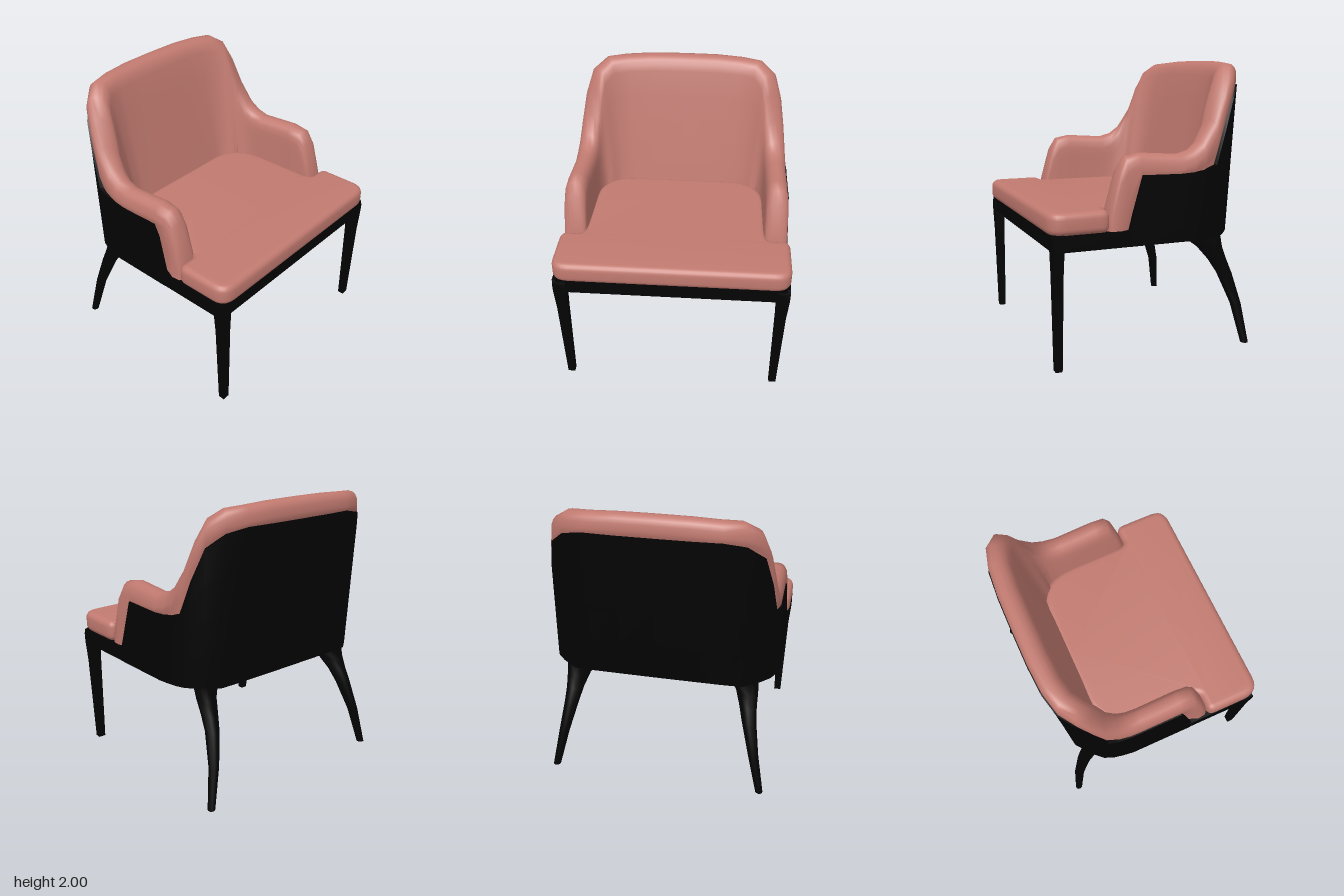
import * as THREE from 'three';
import { toCreasedNormals } from 'three/addons/utils/BufferGeometryUtils.js';

const lerp = THREE.MathUtils.lerp;

// Half of the wrap-around back, from arm tip to back centre:
// base x,z | top x,z | pad height | shell height | inward angle | base thickness
const STATIONS = [
  [0.785, 0.345, 0.78, 0.345, 0.97, 0, 0, 0.11],
  [0.81, 0.33, 0.795, 0.325, 1.07, 0, 0, 0.16],
  [0.815, 0.27, 0.795, 0.26, 1.3, 0, 0, 0.185],
  [0.815, 0.21, 0.793, 0.21, 1.38, 0.9, 0, 0.19],
  [0.815, 0.11, 0.79, 0.11, 1.4, 1.26, 0, 0.19],
  [0.815, -0.18, 0.79, -0.18, 1.38, 1.255, 4, 0.2],
  [0.815, -0.26, 0.79, -0.28, 1.405, 1.26, 9, 0.215],
  [0.805, -0.335, 0.785, -0.36, 1.46, 1.27, 15, 0.235],
  [0.79, -0.41, 0.77, -0.46, 1.6, 1.3, 24, 0.26],
  [0.765, -0.47, 0.742, -0.54, 1.78, 1.53, 36, 0.295],
  [0.7, -0.54, 0.7, -0.615, 1.915, 1.74, 46, 0.295],
  [0.59, -0.625, 0.6, -0.695, 1.978, 1.83, 62, 0.295],
  [0.45, -0.63, 0.45, -0.735, 1.988, 1.86, 75, 0.275],
  [0.25, -0.631, 0.25, -0.75, 1.998, 1.86, 86, 0.275],
  [0, -0.632, 0, -0.752, 2, 1.86, 90, 0.275],
];

// Skin closed rings of points, cap both ends and keep faces outward
function loft(rings) {
  const n = rings[0].length, pos = [], idx = [];
  rings.forEach(r => r.forEach(p => pos.push(p.x, p.y, p.z)));
  for (let i = 0; i < rings.length - 1; i++) {
    for (let j = 0; j < n; j++) {
      const a = i * n + j, b = i * n + (j + 1) % n;
      idx.push(a, b, b + n, a, b + n, a + n);
    }
  }
  [0, rings.length - 1].forEach((r, end) => {
    const c = pos.length / 3, mid = new THREE.Vector3();
    rings[r].forEach(p => mid.addScaledVector(p, 1 / n));
    pos.push(mid.x, mid.y, mid.z);
    for (let j = 0; j < n; j++) {
      const a = r * n + j, b = r * n + (j + 1) % n;
      idx.push(c, end ? a : b, end ? b : a);
    }
  });
  // Signed volume tells whether the winding needs flipping
  const v = i => new THREE.Vector3().fromArray(pos, idx[i] * 3);
  let volume = 0;
  for (let i = 0; i < idx.length; i += 3) volume += v(i).dot(v(i + 1).cross(v(i + 2)));
  if (volume < 0) idx.reverse();
  const g = new THREE.BufferGeometry();
  g.setAttribute('position', new THREE.Float32BufferAttribute(pos, 3));
  g.setIndex(idx);
  return g;
}

// Point of a station at height y; distance d inward from the outer face
function stationPoint([bx, bz, tx, tz, h, , angle], y, d) {
  const k = (y - 0.8) / (h - 0.8), a = THREE.MathUtils.degToRad(angle);
  return new THREE.Vector3(lerp(bx, tx, k) - Math.cos(a) * d, y, lerp(bz, tz, k) + Math.sin(a) * d);
}

// Underside of the padding: raised where the shell hides it
const padBottom = s => (s[5] > 1 ? 1 : 0.9);

// Rounded section of the padding, drawn in a little behind the shell
function padRing(s) {
  const h = s[4], r = Math.min(0.1, (h - 0.9) * 0.8), tTop = Math.min(0.15, s[7]), y0 = padBottom(s);
  const at = (y, f, inset = 0) =>
    stationPoint(s, y, inset + f * lerp(s[7], tTop, (y - 0.8) / (h - 0.8)));
  const soft = v => Math.sign(v) * Math.abs(v) ** 0.85;
  const ring = [];
  const low = Math.max(s[5] - 0.03, y0);
  for (let i = 0; i < 3; i++) ring.push(at(lerp(y0, low, i / 2), 0, s[5] ? 0.025 : 0));
  ring.push(at(lerp(low, h - r, 0.5), 0));
  for (let i = 0; i <= 8; i++) {
    const a = Math.PI * i / 8;
    ring.push(at(h - r + r * soft(Math.sin(a)), (1 - soft(Math.cos(a))) / 2));
  }
  for (let i = 4; i >= 0; i--) ring.push(at(lerp(y0, h - r, i / 5), 1));
  return ring;
}

// Thin section of the outer shell, with a lip that closes the padding from below
function shellRing(s) {
  const lip = 0.8 * s[7], y0 = padBottom(s);
  const outer = [0, 1, 2, 3, 4].map(i => [lerp(0.8, s[5], i / 4), -0.009]);
  return [
    ...outer, [s[5], 0.018], [y0 - 0.003, 0.018],
    [y0 - 0.003, lip], [y0 - 0.012, lip], [y0 - 0.012, 0.018], [0.8, 0.018],
  ].map(([y, d]) => stationPoint(s, y, d));
}

// Continue rings on the other side of the centre
function mirrored(rings) {
  const other = rings.slice(0, -1).reverse()
    .map(r => r.map(p => new THREE.Vector3(-p.x, p.y, p.z)));
  return rings.concat(other);
}

// Leg section with the given number of sides, turned about y
function legRing([x, y, z, w, d], sides, turn) {
  const ring = [], reach = sides === 4 ? Math.SQRT1_2 : 0.5;
  for (let i = 0; i < sides; i++) {
    const a = (i + 0.5) / sides * Math.PI * 2;
    ring.push(new THREE.Vector3(Math.cos(a) * w * reach, 0, Math.sin(a) * d * reach)
      .applyAxisAngle(new THREE.Vector3(0, 1, 0), turn).add(new THREE.Vector3(x, y, z)));
  }
  return ring;
}

function seatGeometry() {
  const s = new THREE.Shape();
  s.moveTo(0, 0.75);
  s.lineTo(0.71, 0.75);
  s.quadraticCurveTo(0.825, 0.75, 0.825, 0.64);
  s.lineTo(0.825, 0.4);
  s.quadraticCurveTo(0.825, 0.34, 0.77, 0.34);
  s.lineTo(0.7, 0.34);
  s.quadraticCurveTo(0.66, 0.34, 0.655, 0.27);
  s.lineTo(0.65, -0.14);
  s.bezierCurveTo(0.645, -0.32, 0.54, -0.42, 0.4, -0.43);
  s.lineTo(0, -0.43);
  const half = s.getPoints(6);
  const rest = half.slice(1, -1).reverse().map(p => new THREE.Vector2(-p.x, p.y));
  const g = new THREE.ExtrudeGeometry(new THREE.Shape(half.concat(rest)), {
    depth: 0.06, bevelThickness: 0.045, bevelSize: 0.045, bevelOffset: -0.045, bevelSegments: 5,
  });
  g.rotateX(Math.PI / 2).translate(0, 1.005, 0);
  return toCreasedNormals(g, 0.8);
}

export function createModel() {
  const model = new THREE.Group();
  const fabric = new THREE.MeshStandardMaterial({ color: 0xc17a70 });
  fabric.name = 'rose fabric';
  const black = new THREE.MeshStandardMaterial({ color: 0x030303 });
  black.name = 'black frame';
  const add = (name, geometry, material) => {
    const mesh = new THREE.Mesh(geometry, material);
    mesh.name = name;
    model.add(mesh);
    return mesh;
  };

  // Upholstery
  add('seatCushion', seatGeometry(), fabric);
  add('backAndArmPadding', toCreasedNormals(loft(mirrored(STATIONS.map(padRing))), 1), fabric);

  // Outer shell, from where it rises out of the side rails
  add('outerShell', toCreasedNormals(loft(mirrored(STATIONS.slice(3).map(shellRing))), 0.6), black);

  // Seat rails
  add('frontRail', new THREE.BoxGeometry(1.6, 0.11, 0.065), black).position.set(0, 0.855, 0.692);

  for (const side of [-1, 1]) {
    const label = side > 0 ? 'left' : 'right';
    add(label + 'SideRail', new THREE.BoxGeometry(0.05, 0.105, 0.53), black)
      .position.set(side * 0.797, 0.8525, 0.455);

    // Straight tapered front leg
    const front = [
      [0.757, 0, 0.687, 0.052, 0.046], [0.77, 0.65, 0.69, 0.075, 0.064],
      [0.775, 0.8, 0.691, 0.09, 0.072], [0.777, 0.87, 0.691, 0.09, 0.076],
      [0.777, 0.91, 0.687, 0.085, 0.06],
    ];
    // Curved back leg, splayed along the diagonal
    const back = [
      [0.757, 0, -0.718, 0.055, 0.052], [0.697, 0.28, -0.672, 0.078, 0.072],
      [0.65, 0.5, -0.6, 0.11, 0.098], [0.632, 0.6, -0.55, 0.135, 0.115],
      [0.614, 0.69, -0.497, 0.185, 0.135], [0.56, 0.8, -0.42, 0.34, 0.18],
      [0.54, 0.88, -0.4, 0.4, 0.2],
    ];
    const flip = ([x, ...rest]) => [side * x, ...rest];
    add(label + 'FrontLeg', toCreasedNormals(
      loft(front.map(r => legRing(flip(r), 4, 0))), 0.6), black);
    add(label + 'BackLeg', toCreasedNormals(
      loft(back.map(r => legRing(flip(r), 12, side * Math.PI / 4))), 0.9), black);
  }
  return model;
}
